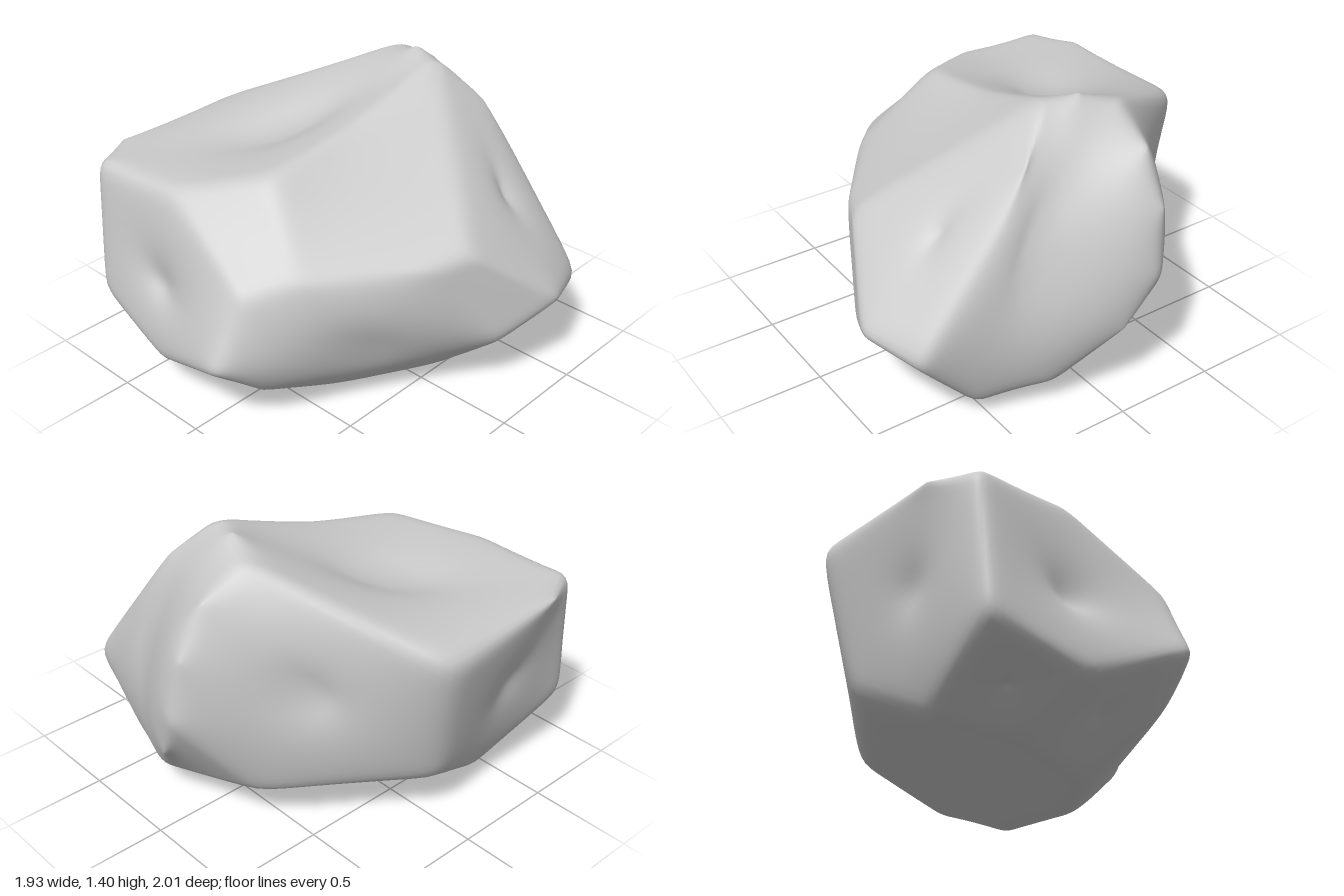
import * as THREE from 'three';

// Corners of the rock, where its hollowed facets meet
const CORNERS = {
  peak: [0.11, 1.375, -0.49], peakM: [-0.05, 1.385, -0.54], peakR: [0.25, 1.22, -0.64],
  peakL: [-0.22, 1.335, -0.61], crest: [0.06, 1.2, 0], backHi: [-0.19, 1.22, -0.83],
  backMid: [-0.19, 0.98, -0.96], back: [-0.17, 0.68, -1.0], spur: [-0.03, 0.43, -0.95],
  leftHi: [-0.97, 0.98, -0.16], leftLo: [-0.81, 0.27, -0.05], footL: [-0.7, 0.08, 0.32],
  footBack: [-0.34, 0.24, -0.66], backLo: [0.25, 0.13, -0.77], heelR: [0.54, 0.08, -0.66],
  footR: [0.49, 0.04, -0.12], hipR: [0.83, 0.32, -0.12], tipR: [0.96, 0.48, -0.41],
  tipBack: [0.86, 0.44, -0.7], ridgeR: [0.75, 0.82, 0], ridgeM: [0.67, 0.77, 0.19],
  ridgeF: [0.34, 0.78, 0.63], brow: [0.03, 1.12, 0.49], browL: [-0.35, 1.02, 0.76],
  chest: [0.18, 0.73, 0.84], frontL: [-0.81, 1.01, 0.79], sideL: [-0.91, 1.0, 0.6],
  chinL: [-0.81, 0.34, 0.84], chin: [-0.32, 0.19, 0.89], nose: [0.17, 0.41, 1.0],
  noseLo: [0.21, 0.22, 0.76], keel: [0.2, 0, 0.3], keelL: [-0.35, 0.04, 0.48],
};

// Facets: loop of corners, then the bottom of the pit and the swelling around it
const FACETS = [
  ['crest peak peakM peakL leftHi sideL frontL browL brow', [-0.33, 0.97, 0.03]],
  ['browL brow ridgeF chest'],
  ['crest brow ridgeF ridgeM ridgeR peak'],
  ['peak ridgeR tipR tipBack peakR', [0.55, 0.84, -0.43], 0.0003],
  ['ridgeR ridgeM hipR tipR'],
  ['tipR hipR footR heelR tipBack'],
  ['ridgeF ridgeM hipR footR keel noseLo nose chest', [0.51, 0.36, 0.3], 0.0006],
  ['frontL browL chest nose chin chinL', [-0.42, 0.48, 0.74], 0.0002],
  ['leftHi sideL frontL chinL footL leftLo', [-0.79, 0.6, 0.37], 0.0003],
  ['peakL backHi backMid back footBack leftLo leftHi', [-0.52, 0.74, -0.39], 0.0005],
  ['peakM peak peakR tipBack heelR backLo spur back backMid backHi peakL', [0.38, 0.84, -0.71], 0.0007],
  ['back spur backLo footBack'],
  ['heelR backLo footBack leftLo footL keelL keel footR', [-0.26, 0.14, -0.03]],
  ['chinL chin keelL footL', [-0.53, 0.2, 0.62]],
  ['chin nose noseLo keel keelL', [-0.1, 0.16, 0.63]],
];

const MIDDLE = new THREE.Vector3(0, 0.65, 0);
const STEPS = 14;

// Corners stand slightly proud, as rounding the ridges wears them down
const corner = (name) => new THREE.Vector3(...CORNERS[name]).sub(MIDDLE).multiplyScalar(1.025).add(MIDDLE);

// Adds one facet as an evenly divided fan; its rim and pit are pinned
function addFacet(net, loop, pit, swell = 0) {
  const rim = loop.split(' ').map(corner);
  const c = new THREE.Vector3();
  if (pit) c.set(...pit);
  else rim.forEach((p) => c.addScaledVector(p, 1 / rim.length));

  const facing = new THREE.Vector3();
  rim.forEach((a, k) => {
    const b = rim[(k + 1) % rim.length];
    facing.add(a.clone().sub(c).cross(b.clone().sub(c)));
  });
  if (facing.dot(c.clone().sub(MIDDLE)) < 0) {
    rim.reverse();
    facing.negate();
  }
  const push = facing.normalize().multiplyScalar(swell);

  rim.forEach((a, k) => {
    const b = rim[(k + 1) % rim.length];
    const at = (i, j) => {
      const p = c.clone().multiplyScalar(1 - i / STEPS)
        .addScaledVector(a, (i - j) / STEPS).addScaledVector(b, j / STEPS);
      const key = p.toArray().map((v) => Math.round(v * 1e4 + 0.137)).join();
      if (!net.ids.has(key)) {
        net.ids.set(key, net.points.length);
        net.points.push(p);
        net.push.push(push);
        net.pinned.push(i === STEPS || (i === 0 && pit !== undefined));
      }
      return net.ids.get(key);
    };
    for (let i = 0; i < STEPS; i++) {
      for (let j = 0; j <= i; j++) {
        net.index.push(at(i, j), at(i + 1, j), at(i + 1, j + 1));
        if (j < i) net.index.push(at(i, j), at(i + 1, j + 1), at(i, j + 1));
      }
    }
  });
}

// Moves vertices towards the mean of their neighbours by a rule for each one
function relax(net, near, passes, rule) {
  for (let n = 0; n < passes; n++) {
    net.points = net.points.map((p, i) => {
      const mean = new THREE.Vector3();
      near[i].forEach((j) => mean.add(net.points[j]));
      return rule(p, mean.divideScalar(near[i].size), i);
    });
  }
}

export function createModel() {
  const net = { points: [], push: [], pinned: [], index: [], ids: new Map() };
  FACETS.forEach((facet) => addFacet(net, ...facet));

  const near = net.points.map(() => new Set());
  net.index.forEach((a, i) => {
    const b = net.index[i % 3 === 2 ? i - 2 : i + 1];
    near[a].add(b);
    near[b].add(a);
  });

  // Stretch each facet like a swollen skin from rim to pit, then soften the ridges
  relax(net, near, 200, (p, mean, i) => (net.pinned[i] ? p : mean.add(net.push[i])));
  relax(net, near, 5, (p, mean) => mean.lerp(p, 0.4));

  const geometry = new THREE.BufferGeometry().setFromPoints(net.points);
  geometry.setIndex(net.index);
  geometry.computeBoundingBox();
  const mid = geometry.boundingBox.getCenter(new THREE.Vector3());
  geometry.translate(-mid.x, -geometry.boundingBox.min.y, -mid.z);
  geometry.computeVertexNormals();

  const rock = new THREE.Mesh(geometry, new THREE.MeshStandardMaterial({ color: 0xcccccc }));
  rock.name = 'rock';
  const group = new THREE.Group();
  group.add(rock);
  return group;
}
